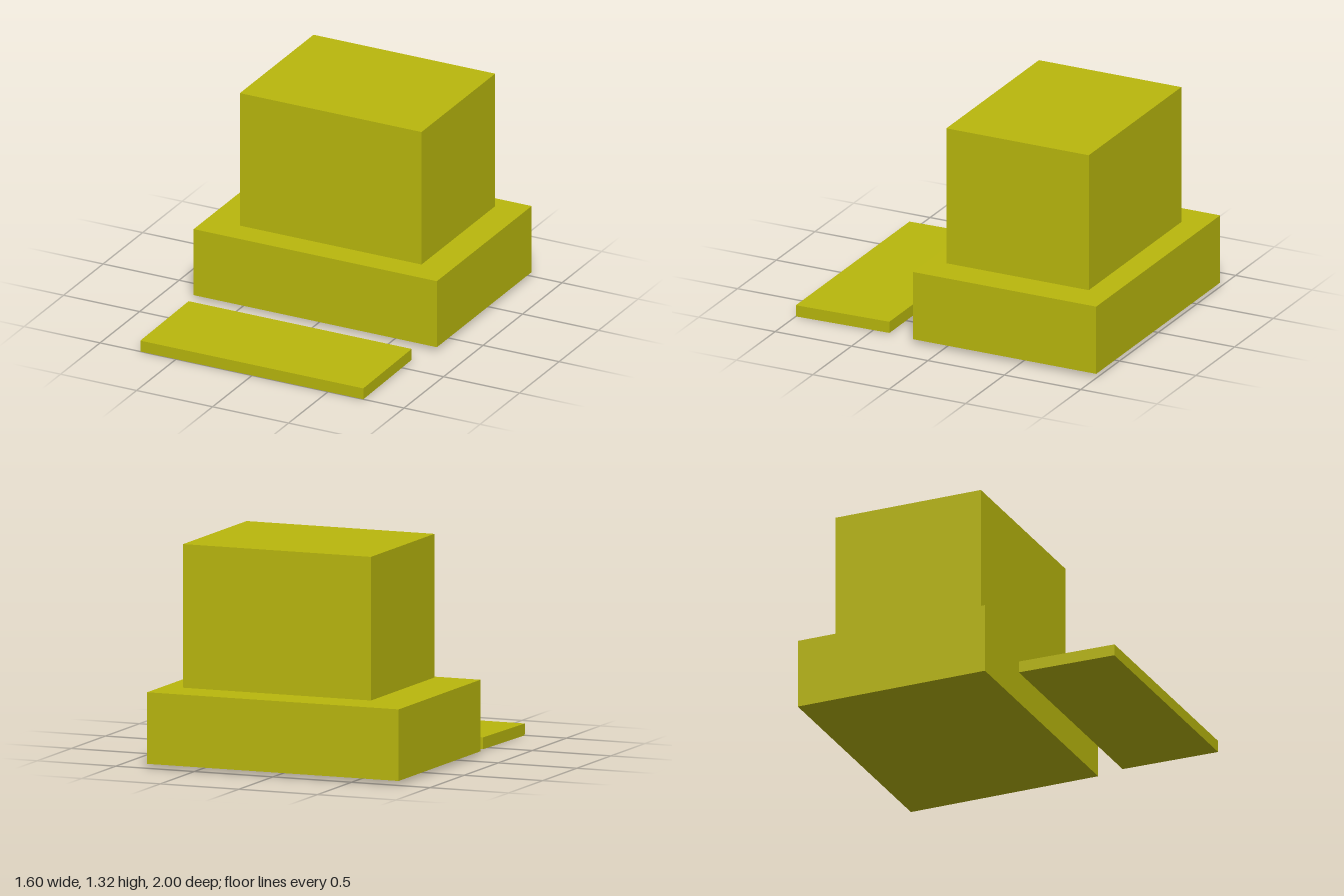
import * as THREE from 'three';

export function createModel() {
  const model = new THREE.Group();
  model.name = 'desktopComputer';
  const material = new THREE.MeshStandardMaterial({ color: 0xb9b70d, flatShading: true });

  // Box given by its [min, max] extents on each axis
  function addBox(name, [x0, x1], [y0, y1], [z0, z1]) {
    const mesh = new THREE.Mesh(new THREE.BoxGeometry(x1 - x0, y1 - y0, z1 - z0), material);
    mesh.name = name;
    mesh.position.set((x0 + x1) / 2, (y0 + y1) / 2, (z0 + z1) / 2);
    model.add(mesh);
    return mesh;
  }

  // Low, wide computer case
  addBox('computerCase', [-0.8, 0.8], [0.027, 0.45], [-1, 0.2]);

  // Monitor hovering just above the case, slightly off centre
  addBox('monitor', [-0.565, 0.63], [0.468, 1.317], [-0.865, 0.067]);

  // Thin keyboard in front, its back edge tilted up a little
  const keyboard = addBox('keyboard', [-0.735, 0.732], [0.004, 0.074], [0.388, 1]);
  keyboard.rotation.x = 0.012;

  return model;
}
